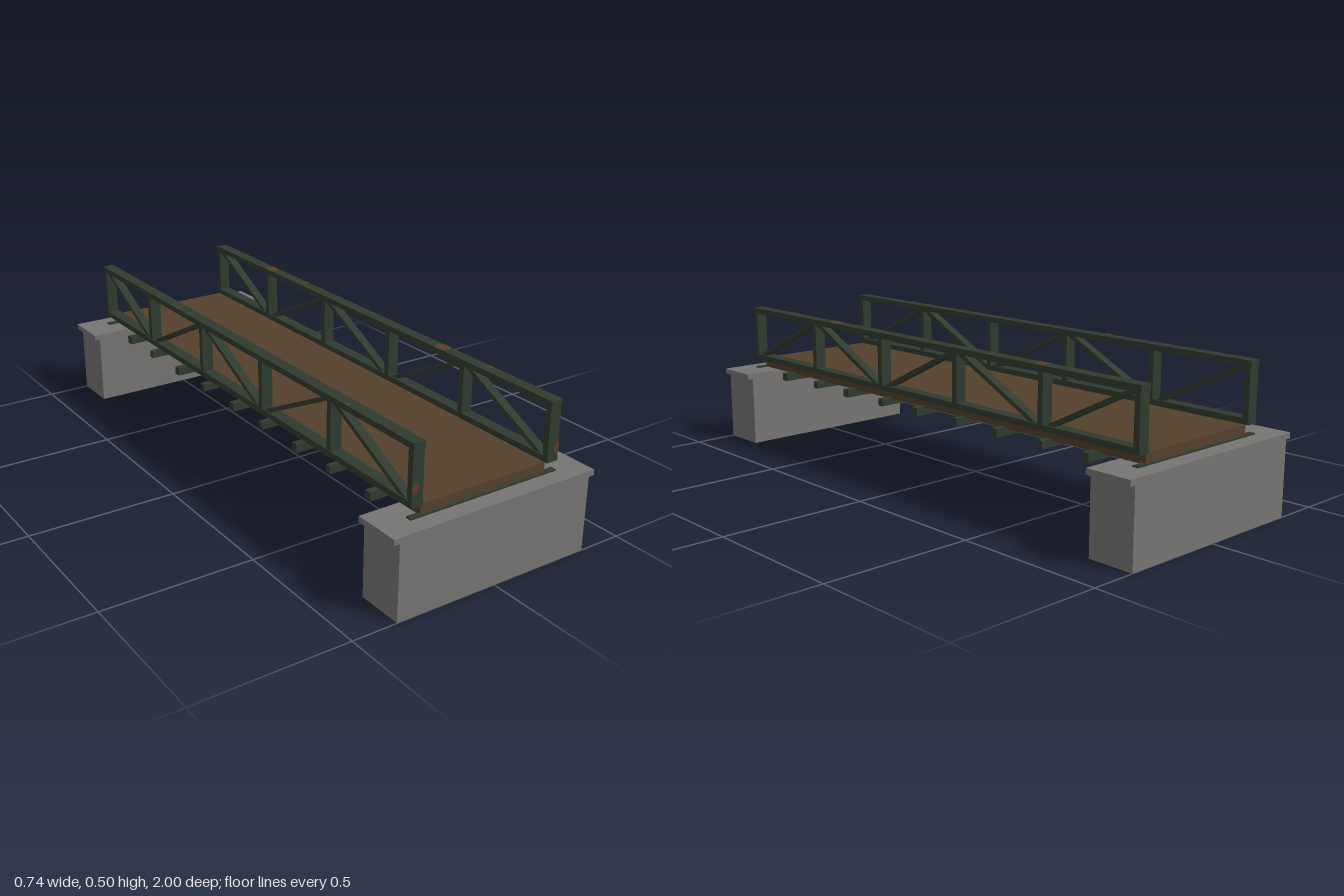
import * as THREE from 'three';

const mat = (name, color) => {
  const m = new THREE.MeshStandardMaterial({ color });
  m.name = name;
  return m;
};

export function createModel() {
  const bridge = new THREE.Group();
  bridge.name = 'bridge';
  const concrete = mat('concrete grey', 0x767573);
  const timber = mat('timber brown', 0x533f2b);
  const steel = mat('dark green steel', 0x303a2e);
  const rust = mat('rust brown', 0x573d25);
  concrete.side = timber.side = THREE.DoubleSide;

  const add = (parent, name, geo, material, x, y, z) => {
    const mesh = new THREE.Mesh(geo, material);
    mesh.name = name;
    mesh.position.set(x, y, z);
    parent.add(mesh);
    return mesh;
  };
  const box = (parent, name, material, w, h, d, x, y, z) =>
    add(parent, name, new THREE.BoxGeometry(w, h, d), material, x, y, z);

  // Hollow shell: a box without its underside
  const shell = (parent, name, material, w, h, d, x, y, z) => {
    const geo = new THREE.BoxGeometry(w, h, d);
    const index = Array.from(geo.index.array);
    index.splice(18, 6);
    geo.setIndex(index);
    geo.clearGroups();
    return add(parent, name, geo, material, x, y, z);
  };

  // Abutments with overhanging caps
  for (const s of [1, -1]) {
    shell(bridge, 'abutment', concrete, 0.7, 0.246, 0.157, 0, 0.123, s * 0.9215);
    box(bridge, 'abutmentCap', concrete, 0.74, 0.019, 0.157, 0, 0.2555, s * 0.9215);
  }

  // Deck, open below
  shell(bridge, 'deck', timber, 0.46, 0.035, 1.87, 0, 0.2825, 0);

  // Cross beams: wide ones mid-panel, narrow ones at the posts
  const posts = [0.933, 0.555, 0.18, -0.195, -0.57, -0.933];
  for (let i = -2; i <= 2; i++)
    box(bridge, 'crossBeam', steel, 0.54, 0.027, 0.026, 0, 0.2565, i * 0.375);
  for (const z of posts)
    box(bridge, 'postBeam', steel, 0.54, 0.025, 0.02, 0, 0.2575, z);

  // Side trusses
  for (const s of [1, -1]) {
    const truss = new THREE.Group();
    truss.name = s > 0 ? 'leftTruss' : 'rightTruss';
    truss.position.x = s * 0.25;
    bridge.add(truss);
    box(truss, 'topChord', steel, 0.04, 0.019, 1.89, 0, 0.4855, 0);
    box(truss, 'bottomChord', steel, 0.04, 0.019, 1.89, 0, 0.3095, 0);
    for (const z of posts)
      box(truss, 'post', steel, 0.039, 0.16, 0.02, 0, 0.3975, z);

    // Diagonals alternate direction from panel to panel
    for (let i = 0; i < 5; i++) {
      const up = i % 2 === 0;
      const a = new THREE.Vector3(0, up ? 0.304 : 0.484, posts[i] - 0.005);
      const b = new THREE.Vector3(0, up ? 0.484 : 0.304, posts[i + 1] + 0.005);
      const mid = a.clone().add(b).multiplyScalar(0.5);
      const brace = box(truss, 'diagonal', steel, 0.03, 0.014, a.distanceTo(b), 0, mid.y, mid.z);
      brace.rotation.x = Math.atan2(a.y - b.y, b.z - a.z);
    }
  }

  // Rust patches: ragged discs trimmed to the width of the member
  const patch = (cx, min, max, r) => {
    const geo = new THREE.CircleGeometry(r, 18);
    const p = geo.attributes.position;
    for (let i = 1; i < p.count; i++) {
      const k = i % 2 ? 1 : 0.85;
      const x = THREE.MathUtils.clamp(cx + p.getX(i) * k, min, max) - cx;
      p.setXY(i, x, p.getY(i) * k);
    }
    return geo;
  };
  add(bridge, 'rustPatch', patch(-0.265, -0.27, -0.23, 0.02), rust, -0.265, 0.362, 0.946);
  add(bridge, 'rustPatch', patch(0.268, 0.23, 0.27, 0.02), rust, 0.268, 0.345, 0.946);
  const topSpots = [[0.245, -0.56, 0.03], [0.25, 0.44, 0.03], [0.262, -0.35, 0.014],
    [0.262, 0.65, 0.012], [-0.265, -0.36, 0.014], [-0.265, 0.64, 0.01]];
  for (const [x, z, r] of topSpots) {
    const side = Math.sign(x) * 0.25;
    const spot = add(bridge, 'rustPatch', patch(x, side - 0.02, side + 0.02, r), rust, x, 0.496, z);
    spot.rotation.x = -Math.PI / 2;
  }
  return bridge;
}
